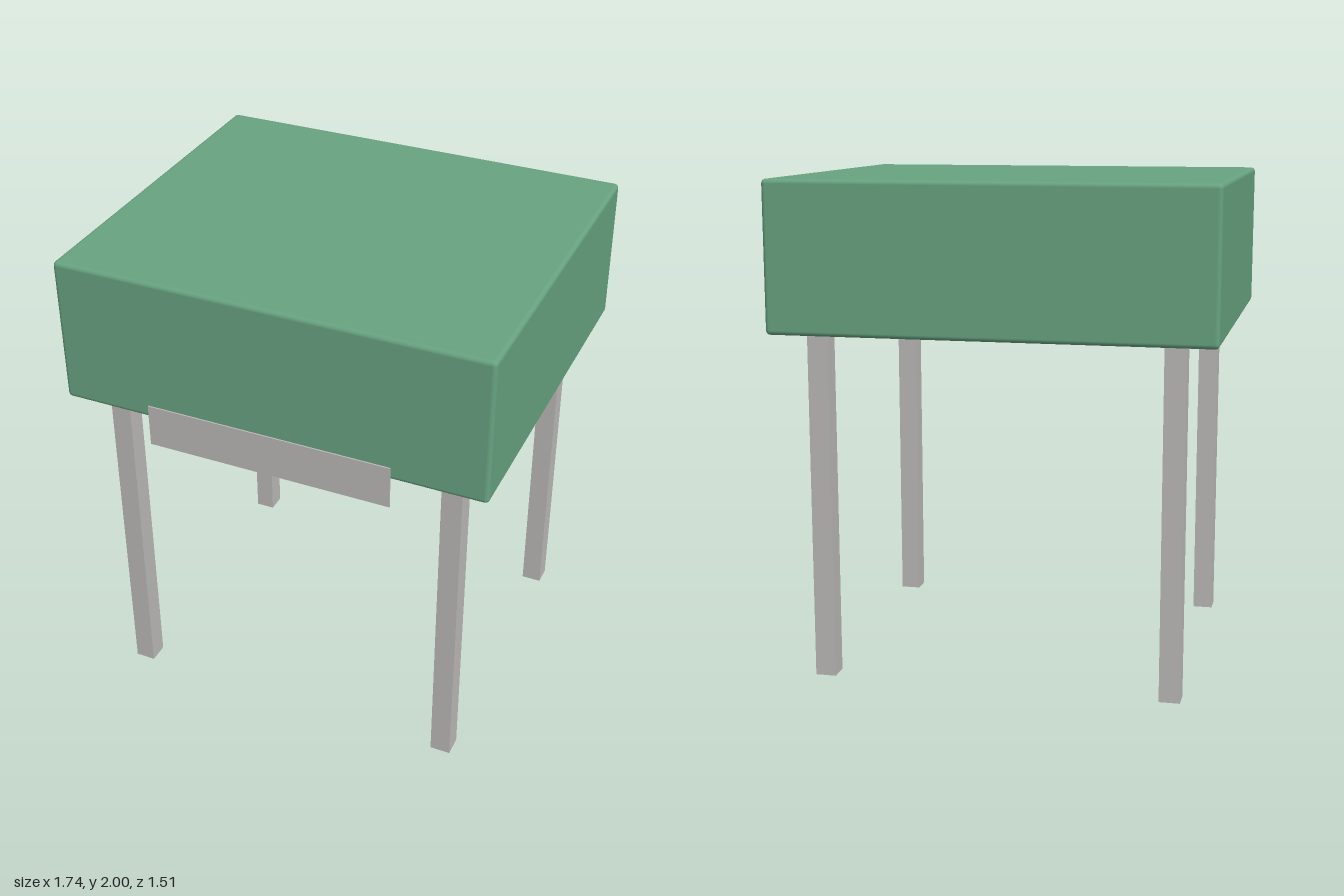
import * as THREE from 'three';
import { RoundedBoxGeometry } from 'three/addons/geometries/RoundedBoxGeometry.js';

export function createModel() {
  const model = new THREE.Group();
  model.name = 'boxTable';

  const green = new THREE.MeshStandardMaterial({ color: 0x67a280 });
  green.name = 'green';
  const grey = new THREE.MeshStandardMaterial({ color: 0xbab9b7 });
  grey.name = 'lightGrey';

  function add(name, geometry, material, x, y, z) {
    const mesh = new THREE.Mesh(geometry, material);
    mesh.name = name;
    mesh.position.set(x, y, z);
    model.add(mesh);
  }

  // Deep body with slightly rounded edges
  add('body', new RoundedBoxGeometry(1.744, 0.596, 1.496, 3, 0.018), green, 0, 1.702, -0.007);

  // Four square legs under the corners
  const legHeight = 1.405;
  const legGeometry = new THREE.BoxGeometry(0.083, legHeight, 0.083);
  for (const [end, z] of [['front', 0.597], ['back', -0.604]]) {
    for (const [side, x] of [['Left', 0.7], ['Right', -0.7]]) {
      add(`${end}${side}Leg`, legGeometry, grey, x, legHeight / 2, z);
    }
  }

  // Thin plate just ahead of the lower front edge
  add('frontPlate', new THREE.BoxGeometry(1, 0.175, 0.006), grey, 0, 1.378, 0.752);

  return model;
}
